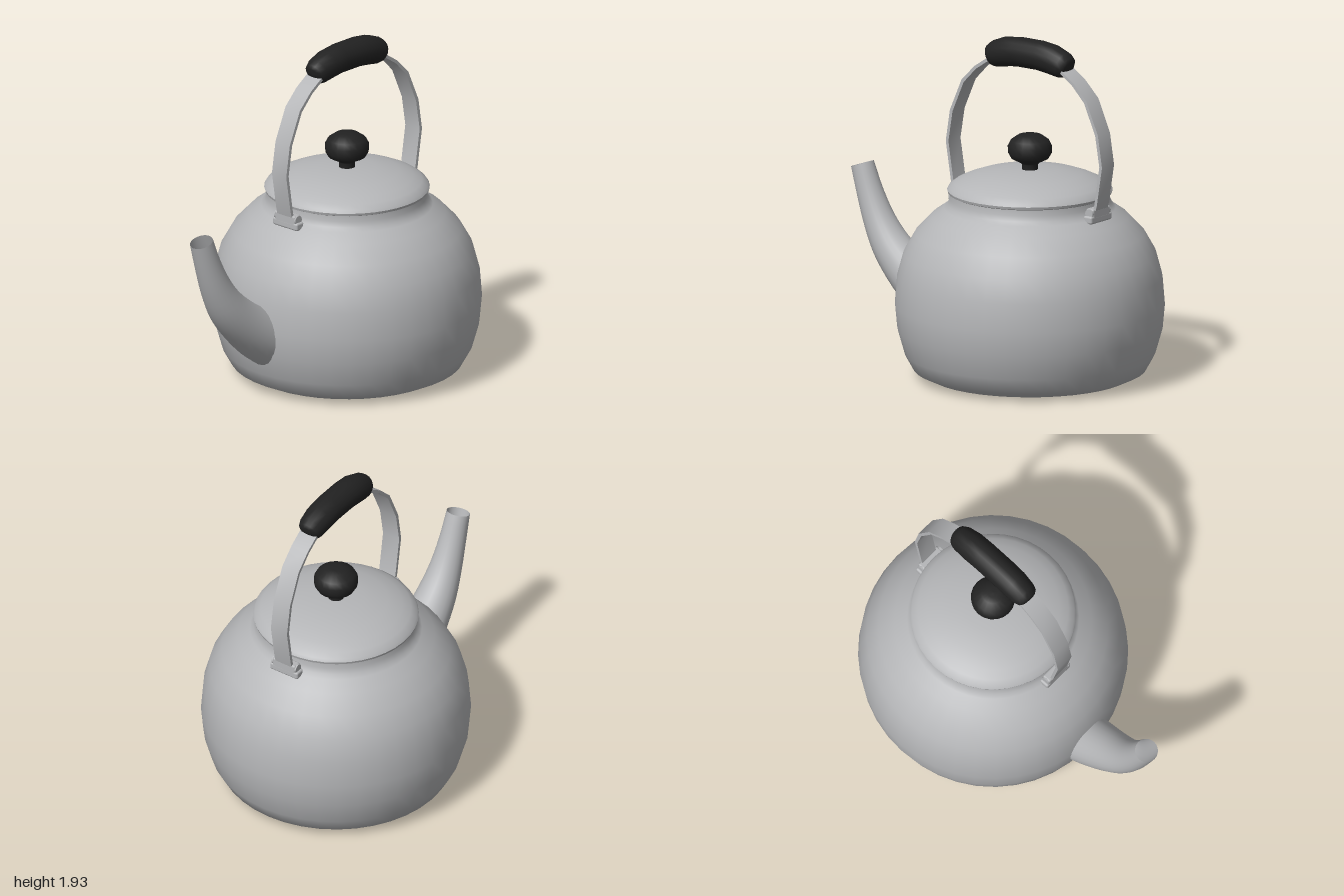
import * as THREE from 'three';
import { RoundedBoxGeometry } from 'three/addons/geometries/RoundedBoxGeometry.js';
import { toCreasedNormals } from 'three/addons/utils/BufferGeometryUtils.js';

const metal = new THREE.MeshStandardMaterial({ color: 0xb5b6b8, side: THREE.DoubleSide });
metal.name = 'brushed metal';
const black = new THREE.MeshStandardMaterial({ color: 0x222222 });
black.name = 'black plastic';

function part(parent, name, geometry, material, x = 0, y = 0, z = 0) {
  const mesh = new THREE.Mesh(geometry, material);
  mesh.name = name;
  mesh.position.set(x, y, z);
  parent.add(mesh);
  return mesh;
}

const lathe = (profile, segments) =>
  new THREE.LatheGeometry(profile.map(([r, y]) => new THREE.Vector2(r, y)), segments);

// Round tube along a path in the xy plane; each station is [x, y, radius].
function sweep(stations, segments) {
  const positions = [], index = [];
  stations.forEach(([x, y, r], i) => {
    const a = stations[Math.max(i - 1, 0)];
    const b = stations[Math.min(i + 1, stations.length - 1)];
    const t = new THREE.Vector2(b[0] - a[0], b[1] - a[1]).normalize();
    for (let j = 0; j < segments; j++) {
      const angle = (j / segments) * Math.PI * 2;
      const n = Math.cos(angle) * r;
      positions.push(x - t.y * n, y + t.x * n, Math.sin(angle) * r);
      if (i === 0) continue;
      const p = (i - 1) * segments, k = (j + 1) % segments;
      index.push(p + j, p + k, p + segments + k, p + j, p + segments + k, p + segments + j);
    }
  });
  const geometry = new THREE.BufferGeometry();
  geometry.setAttribute('position', new THREE.Float32BufferAttribute(positions, 3));
  geometry.setIndex(index);
  geometry.computeVertexNormals();
  return geometry;
}

export function createModel() {
  const model = new THREE.Group();
  model.name = 'kettle';

  // Everything but the spout is centred on the pot's axis
  const pot = new THREE.Group();
  pot.name = 'pot';
  pot.position.x = 0.245;
  model.add(pot);

  // Body with a dished underside and a narrow neck
  part(pot, 'body', lathe([
    [0, 0.05], [0.2, 0.045], [0.34, 0.03], [0.42, 0.004], [0.5, 0], [0.57, 0.012],
    [0.65, 0.05], [0.7, 0.14], [0.74, 0.28], [0.753, 0.42], [0.74, 0.58], [0.705, 0.71],
    [0.64, 0.825], [0.55, 0.92], [0.48, 0.968], [0.46, 0.99], [0.447, 1.02], [0.445, 1.06],
  ], 40), metal);

  // Lid with a rolled rim
  part(pot, 'lid', toCreasedNormals(lathe([
    [0, 1.05], [0.44, 1.05], [0.458, 1.058], [0.462, 1.072], [0.452, 1.088], [0.42, 1.112],
    [0.37, 1.135], [0.29, 1.163], [0.16, 1.184], [0, 1.188],
  ], 40), 0.8), metal);

  // Lid knob on a short stem
  part(pot, 'lidKnob', lathe([
    [0.045, 1.18], [0.045, 1.215], [0.055, 1.225], [0.105, 1.25], [0.122, 1.28], [0.124, 1.32],
    [0.108, 1.352], [0.065, 1.382], [0.03, 1.386], [0, 1.387],
  ], 20), black);

  // Bail handle: a flat metal strap bent into an arch
  const outer = [[0.495, 0.98], [0.515, 1.06], [0.551, 1.28], [0.522, 1.46], [0.44, 1.645],
    [0.35, 1.735], [0.26, 1.795], [0.12, 1.83]];
  const inner = [[0.477, 0.98], [0.497, 1.06], [0.532, 1.28], [0.503, 1.455], [0.425, 1.632],
    [0.34, 1.72], [0.253, 1.778], [0.12, 1.812]];
  const mirrored = (side) => side.map(([x, y]) => [-x, y]).reverse();
  const outline = [...outer, ...mirrored(outer), ...mirrored(inner).reverse(), ...inner.slice().reverse()];
  const strap = new THREE.ExtrudeGeometry(
    new THREE.Shape(outline.map(([x, y]) => new THREE.Vector2(x, y))),
    { depth: 0.11, bevelEnabled: false });
  part(pot, 'handleStrap', toCreasedNormals(strap, 0.5), metal, 0, 0, -0.055);

  // Thick curved grip with rounded ends
  const halfGrip = [[0.278, 1.795, 0], [0.274, 1.797, 0.045], [0.262, 1.802, 0.065],
    [0.235, 1.814, 0.076], [0.16, 1.836, 0.084], [0.075, 1.847, 0.084]];
  const grip = [...halfGrip.map(([x, y, r]) => [-x, y, r]), ...halfGrip.slice().reverse()];
  part(pot, 'handleGrip', sweep(grip, 16), black);

  // Hinge brackets where the strap meets the shoulders
  for (const side of [-1, 1]) {
    const bracket = new THREE.Group();
    bracket.name = side > 0 ? 'leftBracket' : 'rightBracket';
    pot.add(bracket);
    part(bracket, 'bracketFoot', new RoundedBoxGeometry(0.06, 0.045, 0.19, 2, 0.012), metal, side * 0.478, 0.977, 0);
    part(bracket, 'bracketBlock', new RoundedBoxGeometry(0.055, 0.075, 0.155, 2, 0.012), metal, side * 0.48, 1.002, 0);
    const pin = part(bracket, 'hingePin', new THREE.CylinderGeometry(0.027, 0.027, 0.165, 12), metal, side * 0.48, 1.012, 0);
    pin.rotation.x = Math.PI / 2;
  }

  // Curved spout, open at the tip; the third coordinate is the radius
  const spoutCurve = new THREE.CatmullRomCurve3([
    [-0.936, 1.05, 0.066], [-0.88, 0.89, 0.076], [-0.815, 0.742, 0.091], [-0.735, 0.615, 0.11],
    [-0.63, 0.505, 0.127], [-0.495, 0.398, 0.145], [-0.38, 0.325, 0.155],
  ].map((p) => new THREE.Vector3(...p)));
  part(model, 'spout', sweep(spoutCurve.getPoints(18).map((p) => p.toArray()), 24), metal);

  return model;
}
